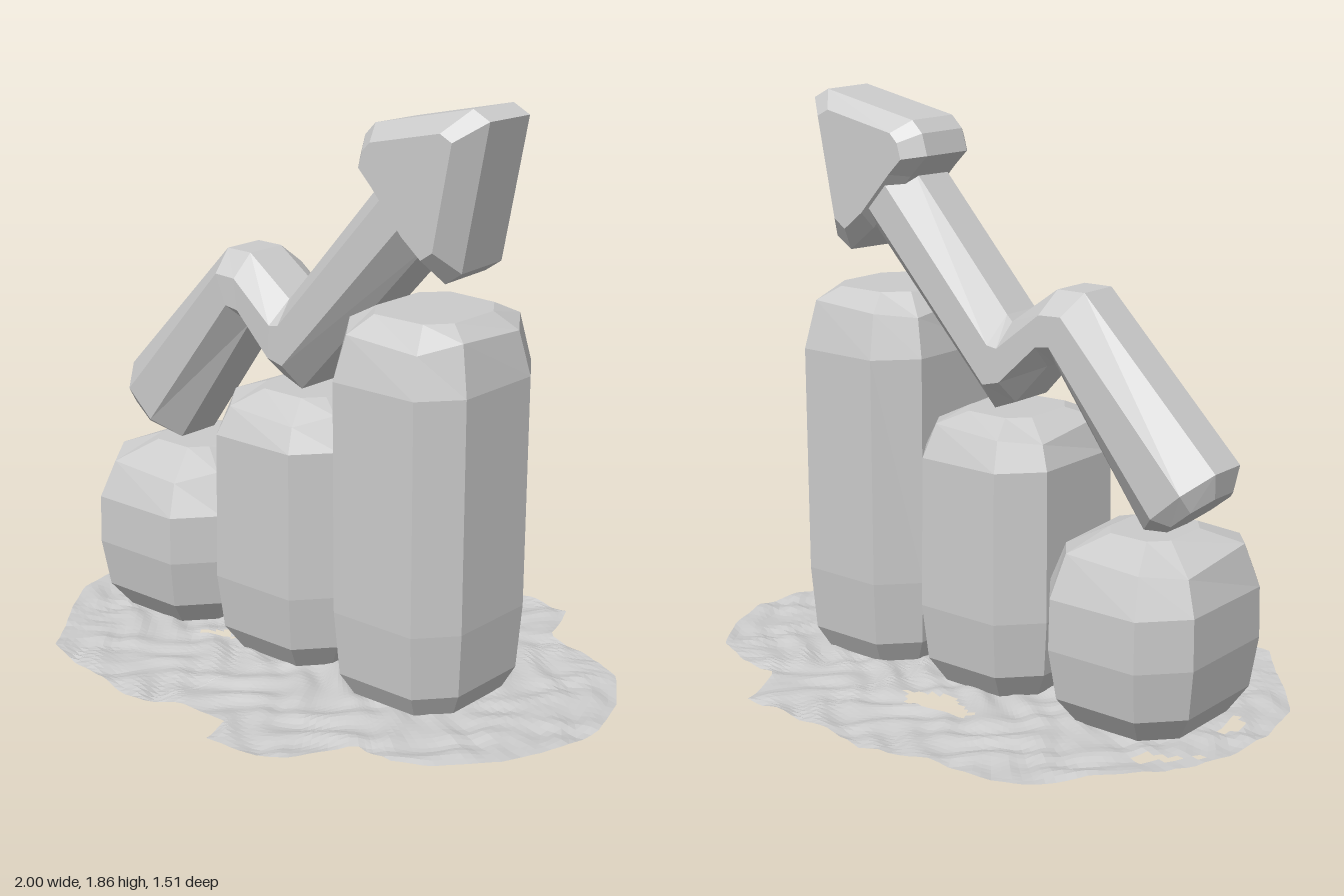
import * as THREE from 'three';

const grey = new THREE.MeshStandardMaterial({ color: 0xcccccc, flatShading: true });
const groundMat = new THREE.MeshStandardMaterial({ color: 0xcccccc, flatShading: true, side: THREE.DoubleSide });

// Skin a closed faceted solid over rings of equal point count, with fan caps.
function loft(name, rings) {
  const n = rings[0].length, tris = [];
  const centre = (r) => r.reduce((s, p) => s.add(p), new THREE.Vector3()).divideScalar(n);
  const first = rings[0], last = rings[rings.length - 1];
  const c0 = centre(first), c1 = centre(last);
  for (let i = 0; i < n; i++) {
    const j = (i + 1) % n;
    for (let k = 0; k + 1 < rings.length; k++) {
      const a = rings[k][i], b = rings[k][j], c = rings[k + 1][j], d = rings[k + 1][i];
      tris.push([a, b, c], [a, c, d]);
    }
    tris.push([c0, first[j], first[i]], [c1, last[i], last[j]]);
  }
  // Signed volume decides which way the faces must turn.
  const volume = tris.reduce((v, [a, b, c]) => v + a.dot(b.clone().cross(c)), 0);
  const pts = tris.flatMap((t) => (volume < 0 ? [t[0], t[2], t[1]] : t));
  const geo = new THREE.BufferGeometry().setFromPoints(pts);
  geo.computeVertexNormals();
  const mesh = new THREE.Mesh(geo, grey);
  mesh.name = name;
  return mesh;
}

// Bar with chamfered corners; levels are [height, width scale].
function bar(name, x0, x1, z0, z1, levels) {
  const cx = (x0 + x1) / 2, cz = (z0 + z1) / 2, hx = (x1 - x0) / 2, hz = (z1 - z0) / 2;
  const outline = [[1, -.5], [1, .55], [.6, .96], [-.6, 1], [-1, .55], [-1, -.6], [-.55, -1], [.6, -.97]];
  return loft(name, levels.map(([y, s], k) => outline.map(([u, v], i) =>
    new THREE.Vector3(cx + u * hx * s, y + (k === levels.length - 2 ? 0.018 * Math.sin(i * 2.1) : 0), cz + v * hz * s))));
}

// Zigzag shaft: each station gives its upper edge, lower edge and depth scale.
function arrowShaft() {
  const section = [[0, -.45], [0, .45], [.28, 1], [.7, 1], [1, .5], [1, -.5], [.7, -1], [.28, -1]];
  const stations = [
    [-.85, .74, -.69, .61, .7], [-.86, .82, -.62, .61, .95], [-.39, 1.3, -.29, 1.07, .97],
    [-.29, 1.3, -.26, 1.06, .97], [-.12, 1.18, -.14, .93, 1], [-.1, 1.2, -.06, .9, 1], [.28, 1.63, .44, 1.44, .97],
  ];
  return loft('arrowShaft', stations.map(([ux, uy, lx, ly, s]) => section.map(([t, z]) =>
    new THREE.Vector3(ux + (lx - ux) * t, uy + (ly - uy) * t, 0.02 + 0.16 * s * z))));
}

// Arrowhead: rounded triangle with both faces bevelled.
function arrowHead() {
  const outline = [[.18, 1.67], [.2, 1.74], [.24, 1.78], [.6, 1.86], [.66, 1.83], [.57, 1.38], [.51, 1.34], [.41, 1.42], [.25, 1.6]];
  const layers = [[-.145, .72], [-.09, .98], [.1, 1], [.185, .72]];
  return loft('arrowHead', layers.map(([z, s]) => outline.map(([x, y]) =>
    new THREE.Vector3(.42 + (x - .42) * s, 1.63 + (y - 1.63) * s, z))));
}

// Thin ragged ground patch with gentle ripples and a few gaps.
function groundPatch() {
  const outline = [
    [.42, -.7], [.5, -.5], [.67, -.47], [.83, -.4], [.94, -.24], [1, -.06], [.98, .1], [.9, .28], [.76, .44], [.66, .5],
    [.52, .49], [.47, .56], [.42, .7], [.3, .75], [.14, .75], [.17, .66], [0, .64], [-.13, .68], [-.16, .73], [-.3, .71],
    [-.56, .67], [-.66, .65], [-.77, .51], [-.88, .38], [-.96, .27], [-1, .05], [-.99, -.12], [-.95, -.25], [-.88, -.38],
    [-.75, -.5], [-.65, -.66], [-.5, -.71], [-.4, -.69], [-.25, -.72], [-.1, -.76], [.02, -.73], [.18, -.71]];
  const gaps = [
    [[-.22, -.36], [-.13, -.41], [.02, -.41], [.08, -.34], [-.08, -.29]],
    [[-.93, .05], [-.86, 0], [-.86, .14]],
    [[-.95, -.15], [-.9, -.25], [-.77, -.35], [-.77, -.29], [-.88, -.23]],
    [[-.39, .26], [-.32, .17], [-.28, .2]]];
  const inside = (x, z, poly) => poly.reduce((hit, [ax, az], i) => {
    const [bx, bz] = poly[(i + 1) % poly.length];
    return (az > z) !== (bz > z) && x < ax + (bx - ax) * (z - az) / (bz - az) ? !hit : hit;
  }, false);
  const path = new THREE.Path(outline.map(([x, z]) => new THREE.Vector2(x, z)));
  path.closePath();
  const segs = 180, rings = 36, edge = path.getSpacedPoints(segs), pts = [];
  const at = (r, i) => {
    const x = edge[i % segs].x * r / rings, z = edge[i % segs].y * r / rings;
    const ripple = Math.sin(x * 31 + 4 * Math.sin(z * 13)) + Math.sin(z * 37 + 3 * Math.sin(x * 17));
    return new THREE.Vector3(x, 0.013 + 0.0045 * ripple, z);
  };
  for (let r = 0; r < rings; r++) for (let i = 0; i < segs; i++) {
    const a = at(r, i), b = at(r, i + 1), c = at(r + 1, i + 1), d = at(r + 1, i);
    const mx = (a.x + c.x) / 2, mz = (a.z + c.z) / 2;
    if (gaps.some((g) => inside(mx, mz, g))) continue;
    pts.push(a, c, d);
    if (r > 0) pts.push(a, b, c);
  }
  const geo = new THREE.BufferGeometry().setFromPoints(pts);
  geo.computeVertexNormals();
  // The outline runs clockwise from above, so turn faces that point down.
  if (geo.attributes.normal.getY(0) < 0) {
    for (let i = 0; i < pts.length; i += 3) [pts[i + 1], pts[i + 2]] = [pts[i + 2], pts[i + 1]];
    geo.setFromPoints(pts);
    geo.computeVertexNormals();
  }
  const mesh = new THREE.Mesh(geo, groundMat);
  mesh.name = 'groundPatch';
  return mesh;
}

export function createModel() {
  const model = new THREE.Group();
  model.name = 'growthChart';
  model.add(
    groundPatch(),
    bar('shortBar', -.885, -.34, -.31, .335, [[.015, .72], [.1, .92], [.26, 1], [.42, .99], [.54, .84], [.6, .42]]),
    bar('middleBar', -.34, .17, -.28, .315, [[.015, .74], [.1, .93], [.28, 1], [.76, .98], [.85, .84], [.895, .5]]),
    bar('tallBar', .16, .66, -.27, .31, [[.015, .78], [.09, .93], [.3, .99], [1.04, 1], [1.18, .87], [1.235, .6]]),
    arrowShaft(),
    arrowHead(),
  );
  return model;
}
